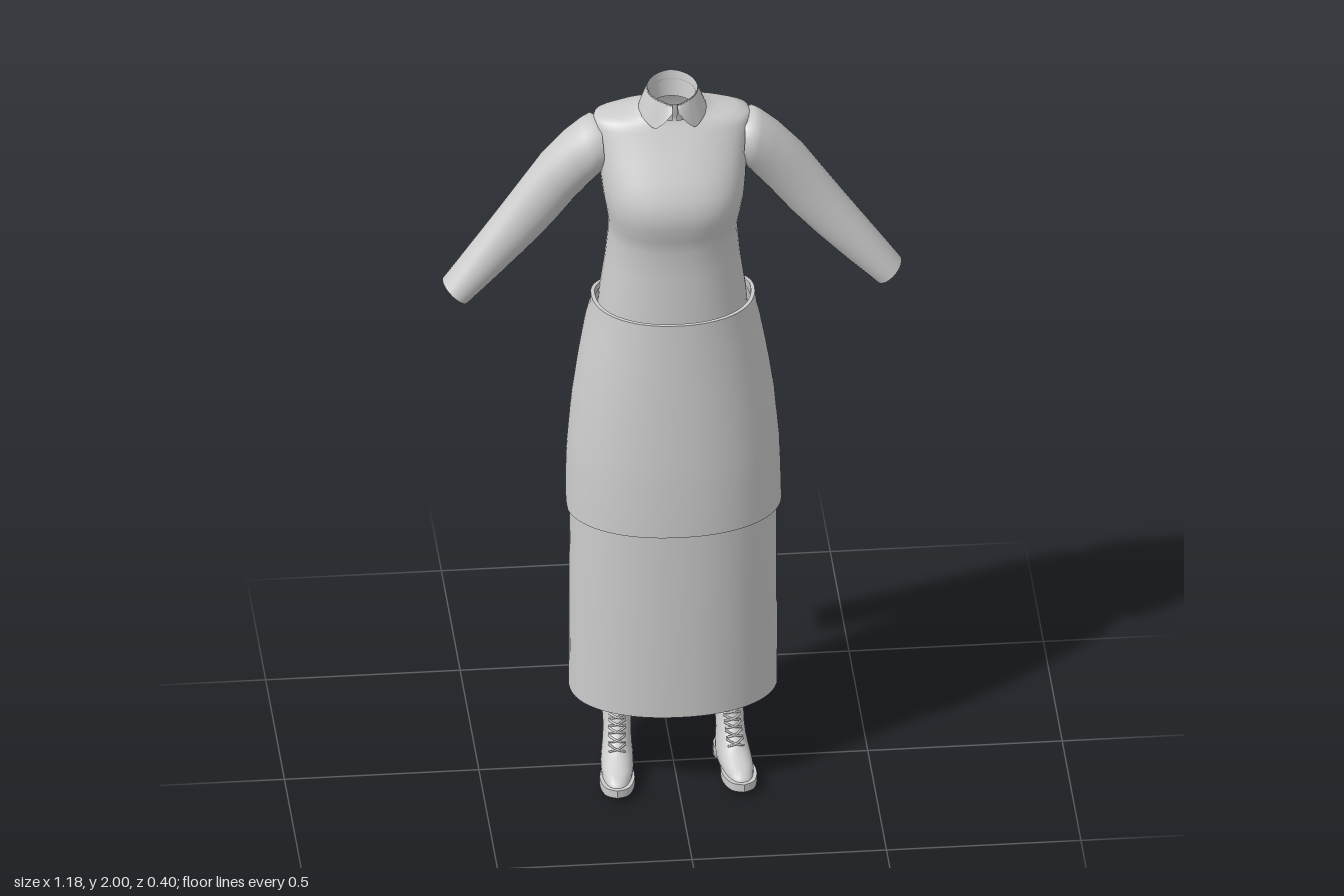
import * as THREE from 'three';
import { toCreasedNormals } from 'three/addons/utils/BufferGeometryUtils.js';

const grey = new THREE.MeshStandardMaterial({ color: 0xcccccc, side: THREE.DoubleSide });
grey.name = 'light grey';

function add(group, name, geometry) {
  const mesh = new THREE.Mesh(geometry, grey);
  mesh.name = name;
  group.add(mesh);
  return mesh;
}

// Surface through rows of points; wrapU closes each row, wrapV joins last row to first
function grid(rows, wrapU, wrapV = false) {
  const m = rows.length, n = rows[0].length, index = [];
  for (let j = 0; j < (wrapV ? m : m - 1); j++) {
    for (let i = 0; i < (wrapU ? n : n - 1); i++) {
      const a = j * n + i, b = j * n + (i + 1) % n;
      const d = ((j + 1) % m) * n + i, c = ((j + 1) % m) * n + (i + 1) % n;
      index.push(a, b, c, a, c, d);
    }
  }
  const geo = new THREE.BufferGeometry().setFromPoints(rows.flat());
  geo.setIndex(index);
  geo.computeVertexNormals();
  return geo;
}

// Piecewise linear lookup in a table of [key, value, value...]
function lookup(table, key, col = 1) {
  let i = 1;
  while (i < table.length - 1 && key > table[i][0]) i++;
  const [a, b] = [table[i - 1], table[i]];
  const t = THREE.MathUtils.clamp((key - a[0]) / (b[0] - a[0]), 0, 1);
  return a[col] + (b[col] - a[col]) * t;
}

// Point on a horizontal superellipse; angle 0 faces the front
function ringPoint(angle, y, w, zf, zb, n = 2) {
  const pow = v => Math.sign(v) * Math.abs(v) ** (2 / n);
  return new THREE.Vector3(w * pow(Math.sin(angle)), y,
    (zf + zb) / 2 + (zf - zb) / 2 * pow(Math.cos(angle)));
}

// Stack of rings [y, halfWidth, zFront, zBack, exponent]
function loft(sections, segments = 48) {
  return grid(sections.map(s => Array.from({ length: segments }, (_, i) =>
    ringPoint(i / segments * Math.PI * 2, ...s))), true);
}

// Skirt outline: [y, halfWidth, zFront, zBack]
const skirtShape = [
  [0.235, 0.268, 0.182, -0.202], [0.8, 0.266, 0.187, -0.202], [0.95, 0.262, 0.182, -0.202],
  [1.1, 0.248, 0.172, -0.202], [1.2, 0.233, 0.165, -0.2], [1.3, 0.215, 0.158, -0.195],
  [1.365, 0.2, 0.153, -0.183], [1.39, 0.198, 0.152, -0.183],
];

function skirtPoint(angle, y, offset) {
  return ringPoint(angle, y, lookup(skirtShape, y) + offset,
    lookup(skirtShape, y, 2) + offset, lookup(skirtShape, y, 3) - offset, 2.15);
}

// Apron edges as [degrees from front, y]
const apronBottom = [[0, 0.78], [80, 0.78], [85, 0.795], [88, 0.82], [90, 0.86], [91, 0.92],
  [93, 1.2], [95, 1.255], [99, 1.29], [106, 1.31], [120, 1.325], [180, 1.328]];
const apronTop = [[0, 1.39], [92, 1.39], [130, 1.368], [180, 1.354]];

function apronGeometry() {
  const half = [];
  for (let d = 0; d < 80; d += 5) half.push(d);
  for (let d = 80; d < 100; d += 1) half.push(d);
  for (let d = 100; d <= 180; d += 5) half.push(d);
  const degrees = [...half, ...half.slice(1, -1).reverse().map(d => -d)];
  const steps = 14, rows = [];
  for (const [offset, up] of [[0.012, true], [0.002, false]]) {
    for (let k = 0; k <= steps; k++) {
      const t = up ? k / steps : 1 - k / steps;
      rows.push(degrees.map(d => {
        const low = lookup(apronBottom, Math.abs(d)), high = lookup(apronTop, Math.abs(d));
        return skirtPoint(THREE.MathUtils.degToRad(d), low + (high - low) * t, offset);
      }));
    }
  }
  return toCreasedNormals(grid(rows, true, true), 0.8);
}

// Folded collar, open at the front, with pointed tips
function collarGeometry() {
  const rows = [[], [], [], []];
  for (let i = 0; i <= 48; i++) {
    const a = THREE.MathUtils.degToRad(5 + i / 48 * 350);
    const d = Math.min(a, Math.PI * 2 - a) * 180 / Math.PI;
    const top = lookup([[0, 1.975], [30, 1.985], [180, 2]], d);
    const low = lookup([[5, 1.962], [20, 1.93], [36, 1.908], [60, 1.922], [110, 1.942], [180, 1.958]], d);
    rows[0].push(ringPoint(a, low, 0.087, 0.062, -0.108));
    rows[1].push(ringPoint(a, top - 0.006, 0.068, 0.046, -0.1));
    rows[2].push(ringPoint(a, top, 0.064, 0.042, -0.097));
    rows[3].push(ringPoint(a, 1.925, 0.058, 0.036, -0.092));
  }
  return grid(rows, false);
}

// Sleeve rings: [topX, topY, bottomX, bottomY, zCentre, zRadius]
function sleeveGeometry() {
  const sections = [
    [0.185, 1.895, 0.175, 1.76, -0.04, 0.07], [0.21, 1.905, 0.187, 1.75, -0.042, 0.079],
    [0.232, 1.893, 0.195, 1.74, -0.042, 0.077], [0.275, 1.857, 0.21, 1.72, -0.045, 0.072],
    [0.34, 1.785, 0.25, 1.67, -0.049, 0.063], [0.4, 1.7, 0.305, 1.6, -0.049, 0.056],
    [0.46, 1.617, 0.37, 1.53, -0.045, 0.053], [0.53, 1.522, 0.445, 1.457, -0.04, 0.052],
    [0.59, 1.44, 0.525, 1.382, -0.035, 0.052],
  ];
  return grid(sections.map(([tx, ty, bx, by, zc, rz]) => Array.from({ length: 32 }, (_, i) => {
    const a = i / 32 * Math.PI * 2, c = Math.cos(a) / 2;
    return new THREE.Vector3((tx + bx) / 2 + c * (tx - bx), (ty + by) / 2 + c * (ty - by),
      zc + Math.sin(a) * rz);
  })), true);
}

function plate(points, depth, topY) {
  const shape = new THREE.Shape().setFromPoints(
    new THREE.SplineCurve([...points, points[0]].map(p => new THREE.Vector2(...p))).getPoints(40));
  const geo = new THREE.ExtrudeGeometry(shape, { depth, bevelEnabled: false });
  return geo.rotateX(Math.PI / 2).translate(0, topY, 0);
}

// Laced ankle boot with the lower leg inside it
function createBoot() {
  const boot = new THREE.Group();
  boot.name = 'boot';
  add(boot, 'leg', loft([[0.17, 0.033, 0.01, -0.06], [0.3, 0.037, 0.018, -0.066], [0.5, 0.05, 0.03, -0.08]], 24));
  const upper = [
    [0.03, 0.041, 0.192, -0.066, 2.4], [0.045, 0.042, 0.185, -0.066, 2.4], [0.058, 0.041, 0.16, -0.065, 2.3],
    [0.072, 0.039, 0.12, -0.063, 2.2], [0.09, 0.037, 0.088, -0.06, 2], [0.12, 0.036, 0.054, -0.058, 2],
    [0.15, 0.038, 0.034, -0.061, 2], [0.188, 0.044, 0.02, -0.069, 2], [0.186, 0.034, 0.011, -0.061, 2],
  ];
  add(boot, 'bootUpper', loft(upper, 32));
  add(boot, 'sole', plate([[0, 0.202], [0.03, 0.185], [0.045, 0.13], [0.036, 0.05], [0.038, -0.03],
    [0, -0.072], [-0.038, -0.03], [-0.036, 0.05], [-0.045, 0.13], [-0.03, 0.185]], 0.022, 0.036));
  add(boot, 'heel', plate([[-0.036, 0], [0, 0.006], [0.036, 0], [0.036, -0.04], [0, -0.072], [-0.036, -0.04]], 0.02, 0.02));
  // Crossed laces up the front
  for (let k = 0; k < 6; k++) {
    const y = 0.086 + k * 0.016;
    for (const s of [-1, 1]) {
      const path = [-1, -0.5, 0, 0.5, 1].map(t => {
        const h = y + (t * s + 1) * 0.006;
        return new THREE.Vector3(t * 0.021, h, lookup(upper.slice(0, 8), h, 2) + 0.003 - t * t * 0.011);
      });
      add(boot, 'lace', new THREE.TubeGeometry(new THREE.CatmullRomCurve3(path), 8, 0.003, 5));
    }
  }
  boot.rotation.y = 0.09;
  boot.position.x = 0.145;
  return boot;
}

export function createModel() {
  const model = new THREE.Group();
  model.name = 'dressWithApron';

  add(model, 'bodice', loft([
    [1.32, 0.195, 0.125, -0.172, 2.2], [1.4, 0.188, 0.125, -0.168, 2.2], [1.5, 0.174, 0.12, -0.157, 2.2],
    [1.58, 0.166, 0.121, -0.15, 2.3], [1.62, 0.167, 0.131, -0.15, 2.4], [1.66, 0.173, 0.143, -0.15, 2.5],
    [1.7, 0.18, 0.146, -0.151, 2.5], [1.74, 0.185, 0.135, -0.153, 2.5], [1.78, 0.189, 0.113, -0.154, 2.5],
    [1.82, 0.194, 0.088, -0.152, 2.5], [1.86, 0.199, 0.062, -0.147, 2.5], [1.89, 0.203, 0.044, -0.138, 2.5],
    [1.907, 0.198, 0.034, -0.13, 2.4], [1.917, 0.165, 0.028, -0.124, 2.2], [1.925, 0.12, 0.026, -0.116, 2],
    [1.935, 0.083, 0.028, -0.107, 2], [1.955, 0.064, 0.034, -0.098, 2], [1.975, 0.06, 0.036, -0.095, 2],
  ]));
  add(model, 'collar', collarGeometry());
  add(model, 'skirt', grid(skirtShape.slice(0, -1).map(([y]) =>
    Array.from({ length: 64 }, (_, i) => skirtPoint(i / 32 * Math.PI, y, 0))), true));
  add(model, 'apron', apronGeometry());

  // Mirrored sleeves and boots
  for (const side of [1, -1]) {
    const limbs = new THREE.Group();
    limbs.name = side > 0 ? 'leftLimbs' : 'rightLimbs';
    add(limbs, 'sleeve', sleeveGeometry());
    limbs.add(createBoot());
    limbs.scale.x = side;
    model.add(limbs);
  }
  return model;
}
